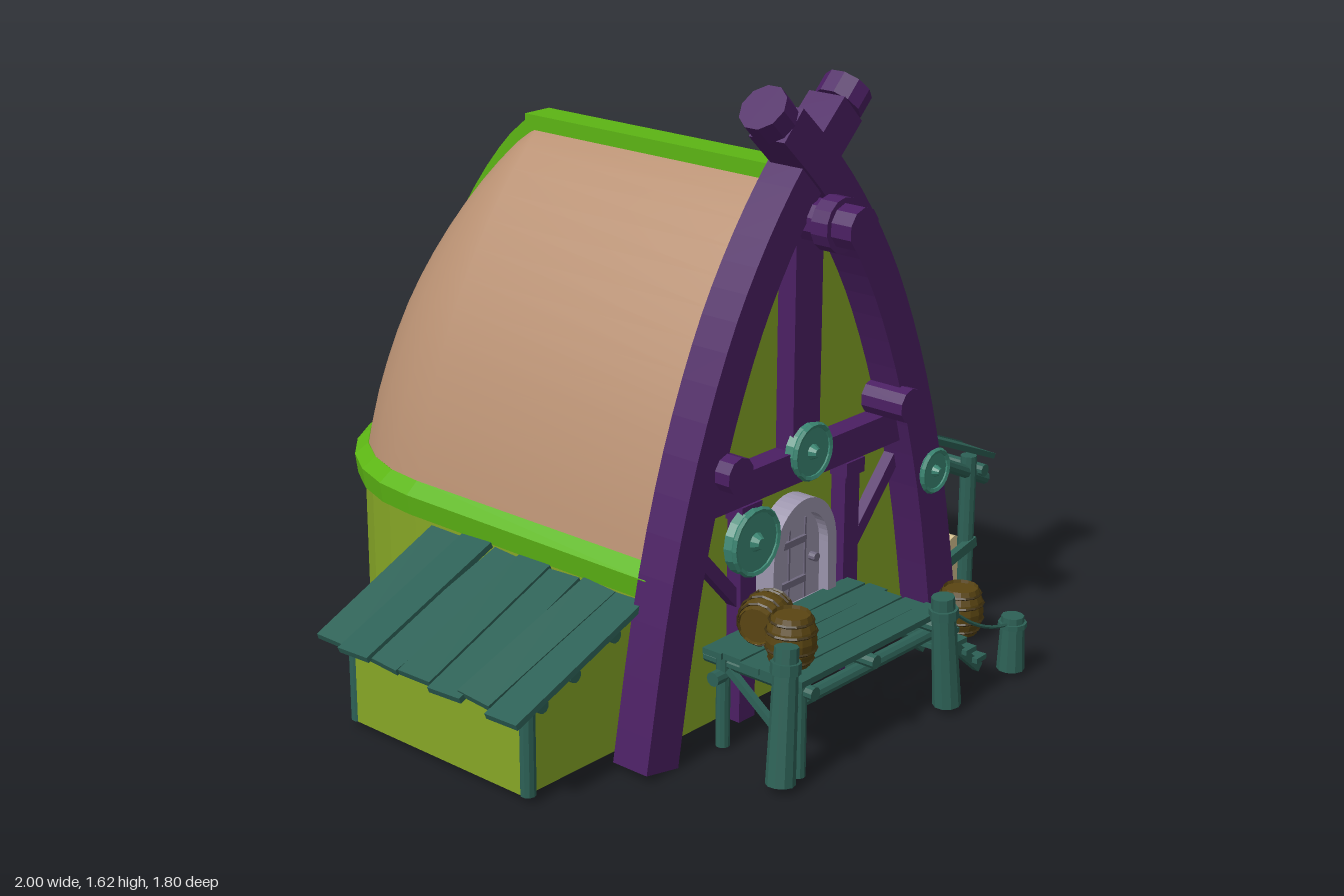
import * as THREE from 'three';
import { toCreasedNormals } from 'three/addons/utils/BufferGeometryUtils.js';

const CX = -0.037, ZC = -0.37, ZF = 0.47; // hall axis, apse centre, front plane
const V = (x, y, z) => new THREE.Vector3(x, y, z);
const mat = (color, flatShading = true) =>
  new THREE.MeshStandardMaterial({ color, flatShading, side: THREE.DoubleSide });
const M = {
  timber: mat(0x4b1f63), wall: mat(0x86a626), trim: mat(0x5cb514), roof: mat(0xb89072, false),
  teal: mat(0x2d6156), shield: mat(0x3a8672), barrel: mat(0x5a4512), hoop: mat(0x3e3010),
  wood: mat(0xd3c190), door: mat(0x9c95ad), iron: mat(0x6f687e),
};

export function createModel() {
  const root = new THREE.Group();
  const add = (name, geo, m, parent = root) => {
    const mesh = new THREE.Mesh(geo, m);
    mesh.name = name;
    parent.add(mesh);
    return mesh;
  };
  // round log from a to b
  const log = (name, a, b, r, m, r2 = r, seg = 10) => {
    const mesh = add(name, new THREE.CylinderGeometry(r2, r, a.distanceTo(b), seg), m);
    mesh.position.copy(a).lerp(b, 0.5);
    mesh.quaternion.setFromUnitVectors(V(0, 1, 0), b.clone().sub(a).normalize());
    return mesh;
  };
  // square bar from a to b, lying in the front plane
  const bar = (name, a, b, w, d, m) => {
    const mesh = add(name, new THREE.BoxGeometry(w, a.distanceTo(b), d), m);
    mesh.position.copy(a).lerp(b, 0.5);
    mesh.quaternion.setFromUnitVectors(V(0, 1, 0), b.clone().sub(a).normalize());
    return mesh;
  };
  const box = (name, x, y, z, w, h, d, m) => {
    const mesh = add(name, new THREE.BoxGeometry(w, h, d), m);
    mesh.position.set(x, y, z);
    return mesh;
  };
  const poly = (pts) => new THREE.Shape(pts.map(([x, y]) => new THREE.Vector2(x, y)));

  // Sweeps a [radius, height] profile along the U-shaped plan of the hall
  const sweepU = (profile, seg = 14) => {
    const pos = [], idx = [], n = profile.length;
    for (let i = 0; i <= seg + 2; i++) {
      const a = Math.PI * Math.min(Math.max(i - 1, 0), seg) / seg;
      const end = i === 0 || i === seg + 2;
      for (const [r, y] of profile)
        pos.push(CX + r * Math.cos(a), y, end ? ZF : ZC - r * Math.sin(a));
      if (i > 0) for (let j = 0; j < n - 1; j++) {
        const p = (i - 1) * n + j, q = i * n + j;
        idx.push(p, q, p + 1, q, q + 1, p + 1);
      }
    }
    const g = new THREE.BufferGeometry();
    g.setAttribute('position', new THREE.Float32BufferAttribute(pos, 3));
    g.setIndex(idx);
    return toCreasedNormals(g, 0.5);
  };

  // Hall: wall, roof, eaves trim, ridge
  const arch = new THREE.SplineCurve([[0.505, 0.48], [0.465, 0.65], [0.395, 0.85], [0.31, 1.02],
    [0.205, 1.18], [0.095, 1.31], [0.003, 1.385]].map(([r, y]) => new THREE.Vector2(r, y)));
  const prof = arch.getPoints(14).map(p => [p.x, p.y]);
  add('wall', sweepU([[0.51, 0.02], [0.51, 0.45]]), M.wall);
  add('roof', sweepU(prof), M.roof);
  add('eavesTrim', sweepU([[0.49, 0.43], [0.53, 0.425], [0.537, 0.48], [0.5, 0.51], [0.485, 0.5], [0.49, 0.43]]), M.trim);
  box('ridge', CX, 1.387, 0.03, 0.09, 0.04, 0.87, M.trim);
  const outer = prof.map(([r, y]) => [r + 0.025, y + 0.016]);
  const spine = new THREE.ExtrudeGeometry(poly([...outer, ...prof.slice().reverse().map(([r, y]) => [r - 0.01, y - 0.01])]),
    { depth: 0.06, bevelEnabled: false });
  spine.rotateY(Math.PI / 2);
  add('rearRib', spine, M.trim).position.set(CX - 0.03, 0, ZC);

  // Front gable
  const gable = poly([[-0.51, 0.02], [0.51, 0.02], ...prof, ...prof.slice().reverse().map(([r, y]) => [-r, y])]);
  add('gableWall', new THREE.ShapeGeometry(gable), M.wall).position.set(CX, 0, ZF);

  // Crossing curved beams with capped ends
  const beamLine = new THREE.SplineCurve([[-0.57, 0.015], [-0.495, 0.41], [-0.405, 0.73], [-0.295, 1.0],
    [-0.18, 1.2], [-0.04, 1.38], [0.12, 1.535]].map(([x, y]) => new THREE.Vector2(x, y)));
  const edge = side => beamLine.getPoints(20).map((p, i) => {
    const t = beamLine.getTangent(i / 20), w = side * (0.058 - 0.008 * i / 20);
    return [p.x - t.y * w, p.y + t.x * w];
  });
  const beamShape = poly([...edge(1), ...edge(-1).reverse()]);
  for (const s of [1, -1]) {
    const g = new THREE.Group();
    g.name = s > 0 ? 'rightArchBeam' : 'leftArchBeam';
    g.position.set(CX, 0, s > 0 ? 0.445 : 0.455);
    g.rotation.y = s > 0 ? 0 : Math.PI;
    if (s < 0) g.position.z += 0.11;
    add('beam', new THREE.ExtrudeGeometry(beamShape, { depth: 0.11, bevelEnabled: false }), M.timber, g);
    const cap = add('beamCap', new THREE.CylinderGeometry(0.064, 0.064, 0.06, 10), M.timber, g);
    cap.position.set(0.142, 1.557, 0.06);
    cap.rotation.z = -0.8;
    root.add(g);
  }

  // Gable timbers
  box('crossBeam', CX, 0.645, 0.495, 0.8, 0.085, 0.07, M.timber);
  box('kingPost', CX, 0.98, 0.495, 0.105, 0.62, 0.06, M.timber);
  log('ridgeLog', V(CX, 1.28, 0.44), V(CX, 1.28, 0.69), 0.056, M.timber);
  log('ridgeLogCollar', V(CX, 1.28, 0.58), V(CX, 1.28, 0.63), 0.07, M.timber, 0.07, 14);
  for (const s of [-1, 1]) {
    log('purlinEnd', V(CX + s * 0.34, 0.725, 0.45), V(CX + s * 0.34, 0.725, 0.6), 0.047, M.timber);
    box('wallPost', CX + s * 0.207, 0.31, 0.49, 0.06, 0.6, 0.05, M.timber);
    box('postHead', CX + s * 0.207, 0.575, 0.495, 0.075, 0.04, 0.06, M.timber);
    bar('brace', V(CX + s * 0.21, 0.32, 0.485), V(CX + s * 0.43, 0.56, 0.485), 0.035, 0.035, M.timber);
  }

  // Arched door
  const doorShape = (w, y0, y1) => {
    const s = new THREE.Shape();
    s.moveTo(-w, y0); s.lineTo(w, y0); s.lineTo(w * 0.97, y1);
    s.absellipse(0, y1, w * 0.97, w * 1.12, 0, Math.PI, false);
    s.closePath();
    return s;
  };
  const frame = doorShape(0.13, 0.25, 0.405);
  frame.holes.push(doorShape(0.095, 0.262, 0.405));
  const ext = depth => ({ depth, bevelEnabled: false, curveSegments: 10 });
  add('doorFrame', new THREE.ExtrudeGeometry(frame, ext(0.06)), M.door).position.set(CX, 0, ZF);
  add('doorPanel', new THREE.ExtrudeGeometry(doorShape(0.097, 0.26, 0.405), ext(0.03)), M.door).position.set(CX, 0, ZF);
  for (const x of [-0.032, 0.032]) box('doorGroove', CX + x, 0.375, 0.501, 0.006, 0.22, 0.006, M.iron);
  for (const y of [0.32, 0.43]) box('doorStrap', CX - 0.03, y, 0.503, 0.12, 0.018, 0.012, M.iron);
  log('doorKnob', V(CX + 0.06, 0.37, 0.5), V(CX + 0.06, 0.37, 0.52), 0.012, M.iron);

  // Round shields
  for (const [x, y, z, r] of [[-0.245, 0.5, 0.54, 0.09], [-0.035, 0.68, 0.545, 0.075], [0.45, 0.5, 0.575, 0.06]]) {
    log('shield', V(x, y, z - 0.03), V(x, y, z), r, M.shield, r * 0.9, 16);
    log('shieldBoss', V(x, y, z), V(x, y, z + 0.018), r * 0.28, M.shield, r * 0.15);
    add('shieldRim', new THREE.TorusGeometry(r * 0.93, 0.008, 5, 18), M.shield).position.set(x, y, z);
  }

  // Rough plank roofs of the two side sheds
  const plankRoof = (name, a, b, z0, z1, n) => {
    const w = (z1 - z0) / n, ang = Math.atan2(b.y - a.y, b.x - a.x);
    for (let i = 0; i < n; i++) {
      const k = Math.sin(i * 2.7 + a.x * 5), len = a.distanceTo(b) - 0.012 * (1 + k);
      const p = box(name, (a.x + b.x) / 2 + 0.006 * k, (a.y + b.y) / 2 + 0.007 * (i % 2), z0 + w * (i + 0.5),
        len, 0.016, w * 1.03, M.teal);
      p.rotation.set(0.06 * k, 0.05 * Math.sin(i * 1.9 + 1), ang, 'ZYX');
    }
  };

  // Shed on the model's right: walled
  plankRoof('rightShedPlank', V(-0.995, 0.245, 0), V(-0.56, 0.415, 0), -0.27, 0.46, 7);
  const side = poly([[-0.92, 0.02], [-0.5, 0.02], [-0.5, 0.425], [-0.92, 0.262]]);
  for (const z of [-0.2, 0.4]) {
    add('rightShedWall', new THREE.ShapeGeometry(side), M.wall).position.z = z;
    log('rightShedPost', V(-0.91, 0.02, z), V(-0.91, 0.26, z), 0.02, M.teal);
    bar('rightShedRafter', V(-0.96, 0.24, z + 0.01), V(-0.56, 0.395, z + 0.01), 0.022, 0.025, M.teal);
  }
  box('rightShedOuterWall', -0.92, 0.14, 0.1, 0.01, 0.24, 0.6, M.wall);
  for (const [x, y] of [[-0.885, 0.25], [-0.775, 0.29], [-0.635, 0.345]])
    log('rightShedPurlin', V(x, y, -0.24), V(x, y, 0.43), 0.018, M.teal);

  // Shed on the model's left: open, with firewood
  plankRoof('leftShedPlank', V(0.485, 0.565, 0), V(0.93, 0.375, 0), -0.14, 0.45, 5);
  for (const z of [-0.1, 0.42]) {
    log('leftShedInnerPost', V(0.62, 0.02, z), V(0.62, 0.49, z), 0.021, M.teal);
    log('leftShedOuterPost', V(0.83, 0.02, z), V(0.83, 0.4, z), 0.023, M.teal);
    log('leftShedRafter', V(0.48, 0.515, z), V(0.91, 0.31, z), 0.019, M.teal);
    bar('leftShedRail', V(0.47, 0.06, z + 0.015), V(0.85, 0.14, z + 0.015), 0.03, 0.02, M.teal);
  }
  for (const [x, y] of [[0.87, 0.35], [0.62, 0.475]])
    log('leftShedPurlin', V(x, y, -0.12), V(x, y, 0.45), 0.018, M.teal);
  for (const [x, y, o] of [[0.72, 0.052, 0], [0.8, 0.05, 0.02], [0.88, 0.052, -0.01], [0.76, 0.107, 0.01], [0.84, 0.107, -0.015]])
    log('firewood', V(x, y, -0.08 + o), V(x, y, 0.39 + o), 0.032, M.wood);
  log('looseLog', V(0.71, 0.16, 0.04), V(0.84, 0.155, 0.04), 0.026, M.wood);
  box('woodSlab', 0.8, 0.148, 0.175, 0.14, 0.022, 0.14, M.wood);
  log('choppingBlock', V(0.96, 0.02, 0.17), V(0.96, 0.135, 0.17), 0.034, M.wood, 0.037);

  // Porch deck
  for (let i = 0; i < 5; i++) {
    const p = box('deckPlank', -0.13 + 0.008 * Math.sin(i * 2), 0.262, 0.545 + i * 0.062, 0.58, 0.016, 0.059, M.teal);
    p.rotation.y = 0.012 * Math.sin(i * 3 + 1);
  }
  for (const z of [0.56, 0.79]) log('deckBeam', V(-0.43, 0.2, z), V(0.18, 0.2, z), 0.019, M.teal);
  for (const x of [-0.38, -0.14, 0.13]) log('deckJoist', V(x, 0.233, 0.5), V(x, 0.233, 0.84), 0.018, M.teal);
  for (const [x, z] of [[-0.39, 0.8], [-0.39, 0.56], [0.13, 0.56]])
    log('deckLeg', V(x, 0.008, z), V(x, 0.26, z), 0.018, M.teal);
  bar('deckBrace', V(-0.39, 0.06, 0.8), V(-0.39, 0.22, 0.58), 0.018, 0.018, M.teal);
  for (const [x, z, h, lean] of [[-0.47, 0.81, 0.36, 0.04], [0.15, 0.85, 0.32, -0.02], [0.435, 0.85, 0.17, 0]]) {
    log('porchPost', V(x, 0.02, z), V(x + lean, h, z - Math.abs(lean) / 2), 0.037, M.teal, 0.03);
    const band = log('porchPostBand', V(x + lean * 0.8, h * 0.82, z - Math.abs(lean) * 0.4), V(x + lean * 0.87, h * 0.9, z - Math.abs(lean) * 0.43), 0.038, M.teal);
    band.name = 'ropeBinding';
  }
  const rope = (a, b, sag) => {
    const mid = a.clone().lerp(b, 0.5);
    mid.y -= sag;
    add('rope', new THREE.TubeGeometry(new THREE.QuadraticBezierCurve3(a, mid, b), 10, 0.005, 5), M.teal);
  };
  rope(V(0.14, 0.29, 0.85), V(0.435, 0.15, 0.85), 0.06);

  // Stairs
  for (let i = 0; i < 5; i++)
    box('stairTread', 0.19 + i * 0.043, 0.215 - i * 0.04, 0.69, 0.045, 0.014, 0.23, M.teal).rotation.y = 0.04 * Math.sin(i * 2);
  for (const z of [0.6, 0.78]) bar('stairStringer', V(0.15, 0.22, z), V(0.385, 0.02, z), 0.026, 0.02, M.teal);

  // Barrels
  const barrel = (x, y, z, rx, ry, rz) => {
    const g = new THREE.Group();
    g.name = 'barrel';
    const pts = [[0, -0.066], [0.047, -0.066], [0.06, -0.03], [0.064, 0], [0.06, 0.03], [0.047, 0.066], [0.045, 0.057], [0, 0.057]];
    add('staves', new THREE.LatheGeometry(pts.map(p => new THREE.Vector2(...p)), 14), M.barrel, g);
    for (const [h, r] of [[-0.05, 0.054], [-0.022, 0.062], [0.022, 0.062], [0.05, 0.054]]) {
      const hoop = add('hoop', new THREE.TorusGeometry(r, 0.004, 4, 14), M.hoop, g);
      hoop.rotation.x = Math.PI / 2;
      hoop.position.y = h;
    }
    g.position.set(x, y, z);
    g.rotation.set(rx, ry, rz);
    root.add(g);
  };
  barrel(-0.345, 0.336, 0.735, 0, 0, 0);
  barrel(-0.29, 0.335, 0.61, 0, 0.3, Math.PI / 2);
  barrel(0.535, 0.086, 0.615, 0, 0.4, 0);

  return root;
}
